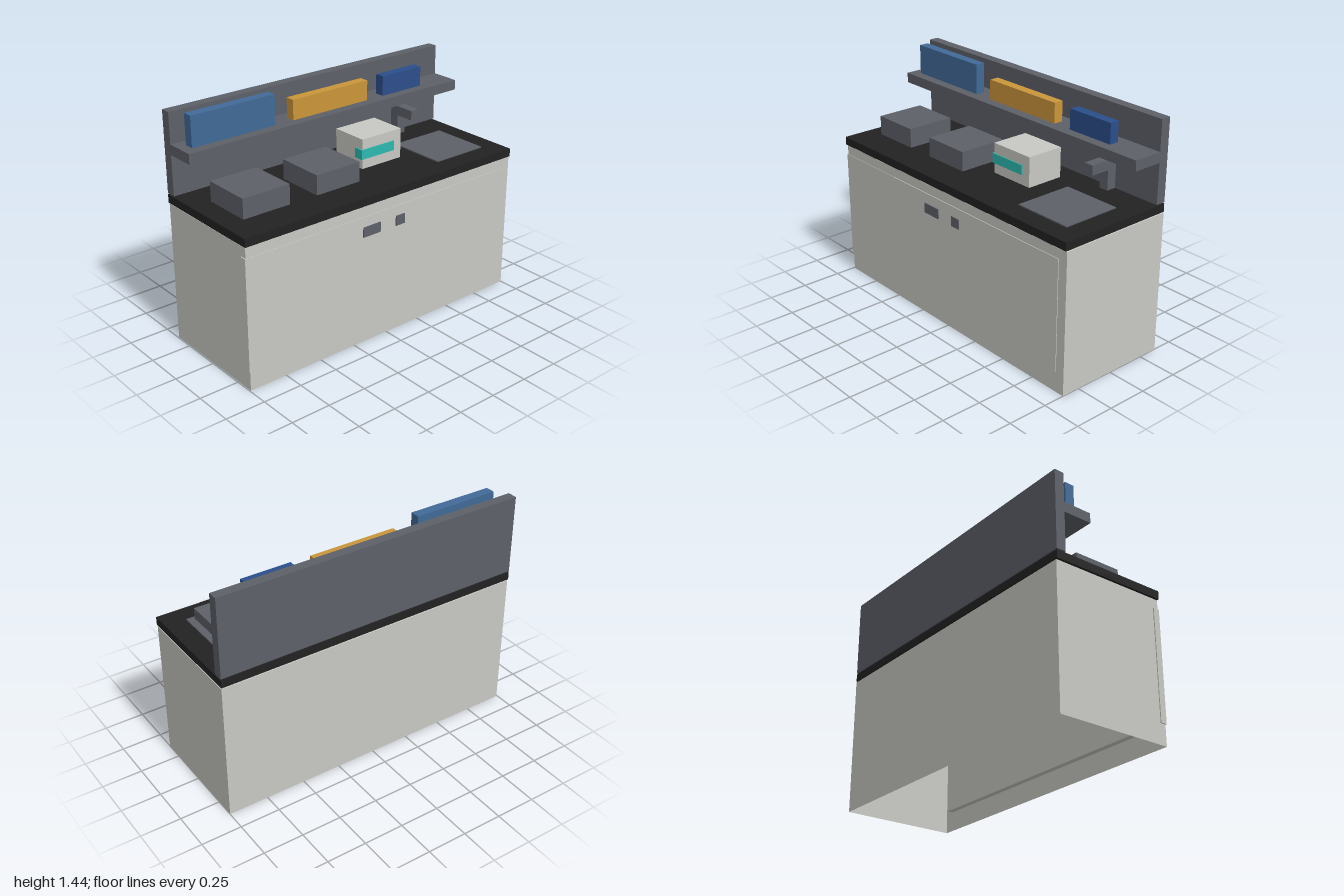
import * as THREE from 'three';

const material = (name, color, side = THREE.FrontSide) => {
  const m = new THREE.MeshStandardMaterial({ color, side });
  m.name = name;
  return m;
};

export function createModel() {
  const cream = material('cream', 0xc8c8c3, THREE.DoubleSide);
  const black = material('black', 0x222222);
  const grey = material('slate grey', 0x5d6068);
  const steelBlue = material('steel blue', 0x416a98);
  const orange = material('orange', 0xca953a);
  const blue = material('deep blue', 0x2c4e8c);
  const teal = material('teal', 0x2cb9b0);

  const model = new THREE.Group();
  model.name = 'kitchenCounter';

  // Box given by its extents along x, y and z
  const box = (name, mat, [x0, x1], [y0, y1], [z0, z1], parent = model) => {
    const mesh = new THREE.Mesh(new THREE.BoxGeometry(x1 - x0, y1 - y0, z1 - z0), mat);
    mesh.position.set((x0 + x1) / 2, (y0 + y1) / 2, (z0 + z1) / 2);
    mesh.name = name;
    parent.add(mesh);
    return mesh;
  };

  // Cabinet shell, open underneath (the fourth face of a box is its bottom)
  const cabinet = box('cabinet', cream, [-0.994, 1], [0, 0.876], [-0.375, 0.366]);
  const index = Array.from(cabinet.geometry.index.array);
  index.splice(18, 6);
  cabinet.geometry.setIndex(index);
  cabinet.geometry.clearGroups();

  // Two flush doors with handles
  box('leftDoor', cream, [0, 0.94], [0.127, 0.815], [0.33, 0.37]);
  box('rightDoor', cream, [-1, 0], [0.127, 0.815], [0.33, 0.37]);
  box('rightHandle', grey, [-0.19, -0.063], [0.69, 0.752], [0.34, 0.376]);
  box('leftHandle', grey, [0.057, 0.125], [0.69, 0.752], [0.34, 0.376]);

  // Worktop with sink cover
  box('worktop', black, [-1, 1], [0.883, 0.934], [-0.375, 0.375]);
  box('sink', grey, [0.497, 0.873], [0.878, 0.941], [-0.125, 0.25]);

  // Back panel and shelf
  box('backPanel', grey, [-1, 1], [0.941, 1.44], [-0.375, -0.3125]);
  box('shelf', grey, [-1, 1], [1.19, 1.253], [-0.3125, -0.125]);

  // Boxes standing on the shelf
  const shelfZ = [-0.248, -0.187];
  box('tallShelfBox', steelBlue, [-0.94, -0.378], [1.253, 1.44], shelfZ);
  box('longShelfBox', orange, [-0.25, 0.312], [1.253, 1.378], shelfZ);
  box('shortShelfBox', blue, [0.437, 0.75], [1.253, 1.378], shelfZ);

  // Low appliances on the worktop
  for (const x of [-0.877, -0.376]) {
    box('lowAppliance', grey, [x, x + 0.313], [0.941, 1.063], [-0.125, 0.187]);
  }

  // Pale appliance with a front display
  const appliance = new THREE.Group();
  appliance.name = 'paleAppliance';
  model.add(appliance);
  box('applianceBody', cream, [0.069, 0.37], [0.941, 1.127], [-0.187, 0.056], appliance);
  box('applianceDisplay', teal, [0.06, 0.312], [1.003, 1.063], [0, 0.062], appliance);

  // Faucet
  const faucet = new THREE.Group();
  faucet.name = 'faucet';
  model.add(faucet);
  box('faucetPost', grey, [0.624, 0.686], [0.941, 1.066], [-0.3125, -0.25], faucet);
  box('faucetSpout', grey, [0.624, 0.686], [1.066, 1.127], [-0.3125, -0.125], faucet);

  return model;
}
